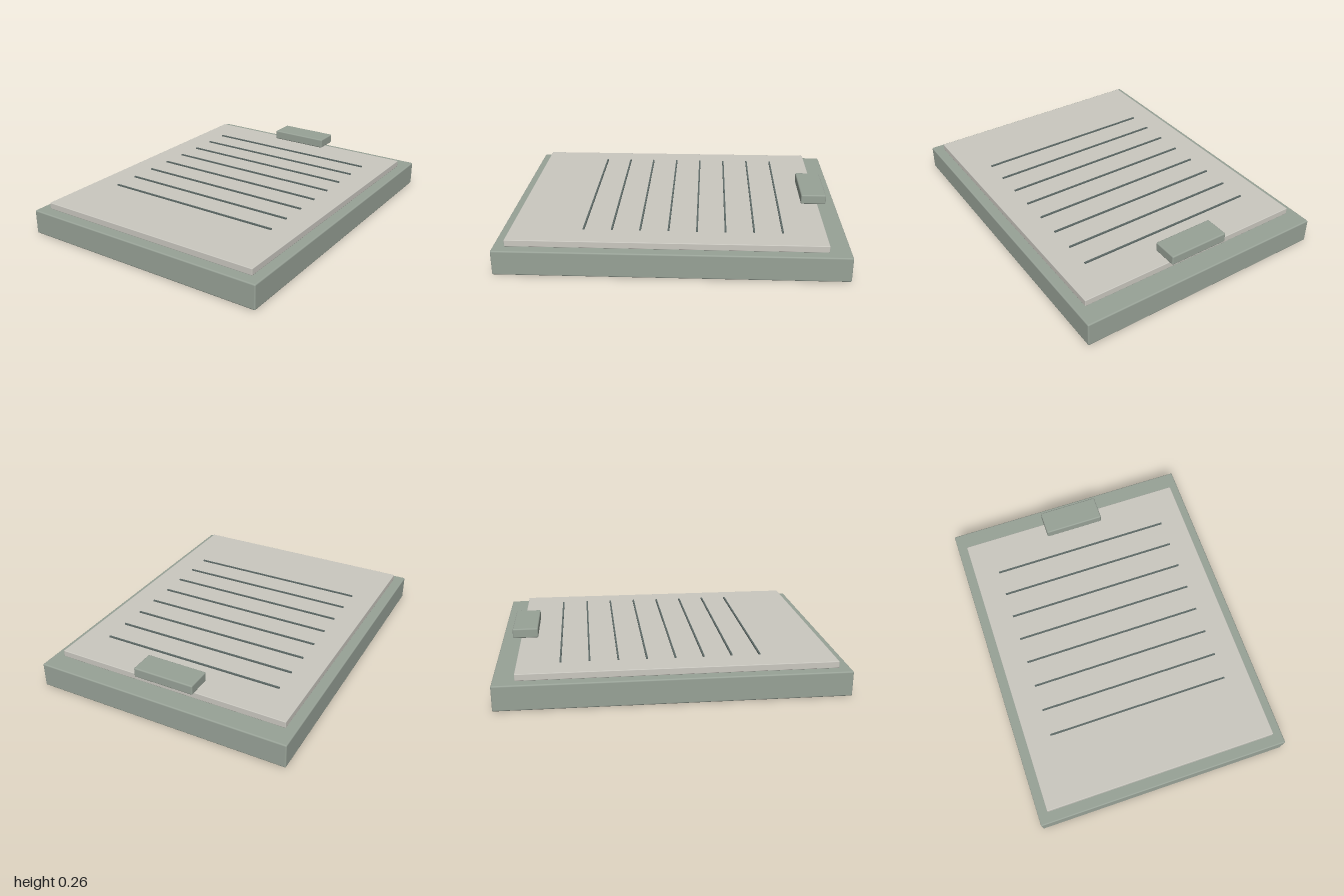
import * as THREE from 'three';
import { RoundedBoxGeometry } from 'three/addons/geometries/RoundedBoxGeometry.js';

function material(name, color) {
  const m = new THREE.MeshStandardMaterial({ color });
  m.name = name;
  return m;
}

export function createModel() {
  const group = new THREE.Group();
  group.name = 'clipboard';
  const sage = material('sage green', 0x98a297);
  const paperColor = material('warm paper', 0xcac8c0);
  const ink = material('slate ink', 0x5f6b68);

  // Softly rounded slab spanning the given ranges, centred on x
  function slab(name, width, [y0, y1], [z0, z1], radius, mat) {
    const geometry = new RoundedBoxGeometry(width, y1 - y0, z1 - z0, 2, radius);
    const mesh = new THREE.Mesh(geometry, mat);
    mesh.name = name;
    mesh.position.set(0, (y0 + y1) / 2, (z0 + z1) / 2);
    group.add(mesh);
  }

  slab('board', 1.555, [0, 0.148], [-1, 1], 0.008, sage);
  slab('paper', 1.434, [0.148, 0.188], [-0.877, 0.934], 0.004, paperColor);
  slab('clip', 0.372, [0.204, 0.263], [-0.922, -0.77], 0.008, sage);

  // Ruled lines across the sheet
  const lineGeometry = new THREE.BoxGeometry(1.13, 0.009, 0.01);
  for (let i = 0; i < 8; i++) {
    const line = new THREE.Mesh(lineGeometry, ink);
    line.name = `ruledLine${i + 1}`;
    line.position.set(0, 0.1915, -0.63 + i * 0.1626);
    group.add(line);
  }
  return group;
}
